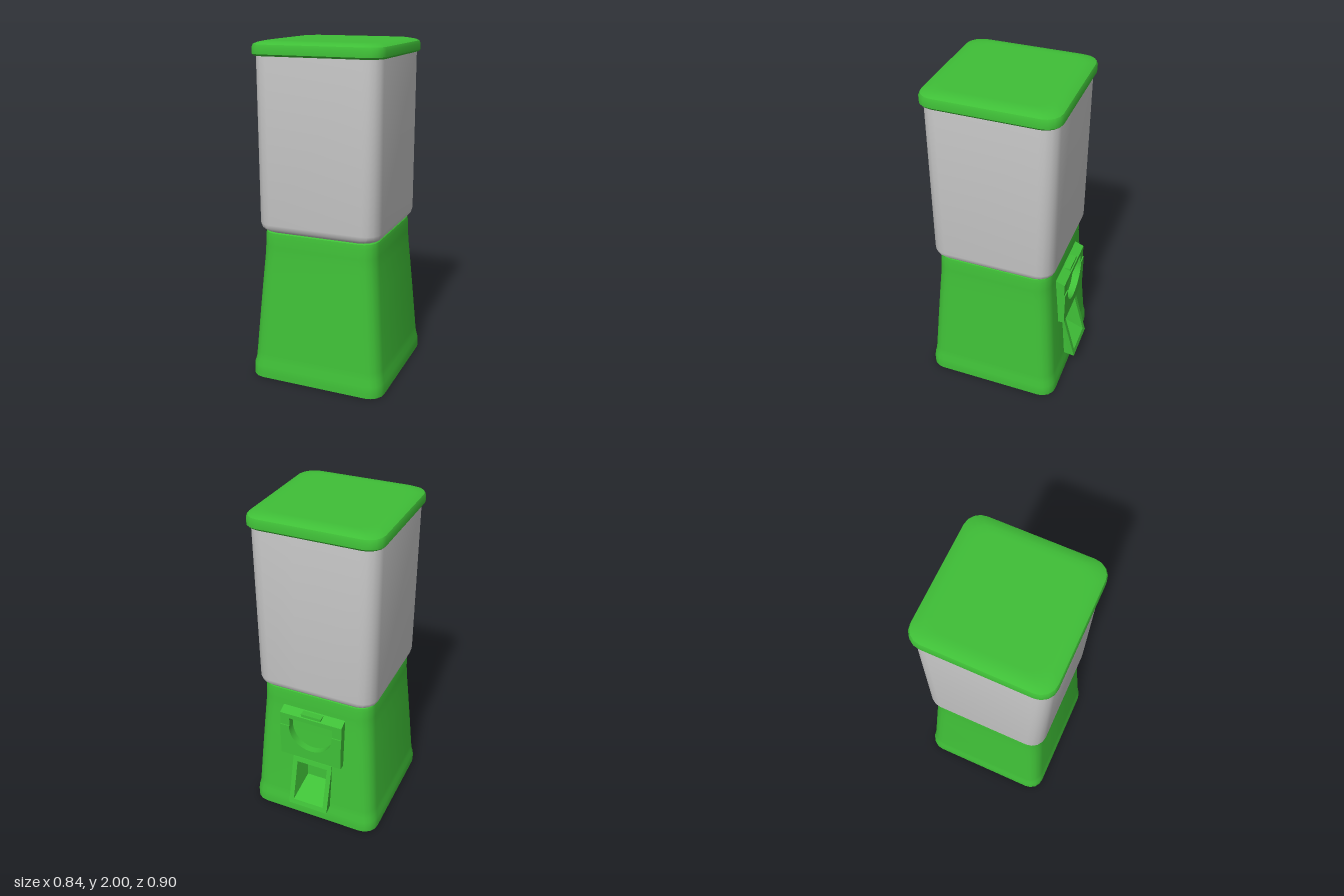
import * as THREE from 'three';
import { toCreasedNormals } from 'three/addons/utils/BufferGeometryUtils.js';

const green = new THREE.MeshStandardMaterial({ color: 0x3fbf37, side: THREE.DoubleSide });
const grey = new THREE.MeshStandardMaterial({ color: 0xcccccc, side: THREE.DoubleSide });
const CZ = 0.03; // centre of the cabinet in z
const SEG = 4;   // segments per rounded corner

// Skin a list of equal-length loops; skip(i, j) leaves a quad open
function loft(loops, { capStart = false, capEnd = false, skip = () => false, crease = 0.6 } = {}) {
  const n = loops[0].length, pos = loops.flat(2), idx = [];
  for (let i = 0; i < loops.length - 1; i++) {
    for (let j = 0; j < n; j++) {
      if (skip(i, j)) continue;
      const a = i * n + j, b = i * n + (j + 1) % n;
      idx.push(a, b, b + n, a, b + n, a + n);
    }
  }
  const last = (loops.length - 1) * n;
  for (let j = 1; j < n - 1; j++) {
    if (capStart) idx.push(0, j + 1, j);
    if (capEnd) idx.push(last, last + j, last + j + 1);
  }
  const g = new THREE.BufferGeometry();
  g.setAttribute('position', new THREE.Float32BufferAttribute(pos, 3));
  g.setIndex(idx);
  return toCreasedNormals(g, crease);
}

// Horizontal rounded square; two extra points on the back edge frame the chute hole
function section(h, y, r = 0.09) {
  const pts = [];
  for (let c = 0; c < 4; c++) {
    const mid = Math.PI / 4 + c * Math.PI / 2;
    const cx = Math.sign(Math.cos(mid)) * (h - r), cz = -Math.sign(Math.sin(mid)) * (h - r);
    for (let s = 0; s <= SEG; s++) {
      const t = (c + s / SEG) * Math.PI / 2;
      pts.push([cx + r * Math.cos(t), y, CZ + cz - r * Math.sin(t)]);
    }
    if (c === 0) pts.push([0.1, y, CZ - h], [-0.1, y, CZ - h]);
  }
  return pts;
}

// Rectangle loop on the back, with its own depth at the top and bottom
const rect = (w, y0, y1, z0, z1) => [[w, y1, z1], [w, y0, z0], [-w, y0, z0], [-w, y1, z1]];

// U-shaped outline, flat at the top and round at the bottom
function uPath(r, top, mid) {
  const p = new THREE.Path();
  p.moveTo(r, top);
  p.lineTo(-r, top);
  p.lineTo(-r, mid);
  p.absarc(0, mid, r, Math.PI, Math.PI * 2, false);
  p.lineTo(r, top);
  return p;
}

// Rectangular plate with a U-shaped opening
function plateGeometry(w, y0, y1, holeTop, depth) {
  const s = new THREE.Shape([[-w, y0], [w, y0], [w, y1], [-w, y1]].map(p => new THREE.Vector2(...p)));
  s.holes.push(uPath(0.14, holeTop, 0.68));
  return new THREE.ExtrudeGeometry(s, { depth, bevelEnabled: false, curveSegments: 20 });
}

export function createModel() {
  const model = new THREE.Group();
  const add = (name, geometry, material = green, parent = model) => {
    const m = new THREE.Mesh(geometry, material);
    m.name = name;
    parent.add(m);
    return m;
  };

  // Tapered base with skirt; the chute opening is left out of the back
  const base = [[0.42, 0], [0.42, 0.03], [0.417, 0.07], [0.409, 0.105], [0.405, 0.15], [0.385, 0.41],
    [0.368, 0.62], [0.357, 0.75], [0.353, 0.82], [0.352, 0.88], [0.348, 0.905], [0.338, 0.915]];
  add('base', loft(base.map(p => section(...p)), {
    capStart: true, capEnd: true, skip: (i, j) => i === 4 && j === SEG + 1,
  }));

  // Container
  const jar = [[0.34, 0.91], [0.355, 0.92], [0.367, 0.935], [0.373, 0.96], [0.373, 1.93]];
  add('container', loft(jar.map(p => section(...p)), { capStart: true, capEnd: true }), grey);

  // Lid with a rounded rim
  const lid = [[0.382, 1.92], [0.39, 1.93], [0.39, 1.965], [0.384, 1.982], [0.365, 1.992], [0.33, 2], [0.3, 2]];
  add('lid', loft(lid.map(p => section(...p)), { capStart: true, capEnd: true }));

  // Coin mechanism on the back, its top edge sloping to the cabinet
  const mechanism = new THREE.Group();
  mechanism.name = 'coinMechanism';
  model.add(mechanism);
  const plate = plateGeometry(0.2, 0.47, 0.8, 0.745, 0.062);
  const p = plate.attributes.position;
  for (let i = 0; i < p.count; i++) {
    if (p.getY(i) > 0.79 && p.getZ(i) < 0.01) p.setY(i, 0.775);
  }
  plate.computeVertexNormals();
  add('coinPlate', toCreasedNormals(plate, 0.5), green, mechanism).position.z = -0.379;

  // Raised lower trim around the round end of the opening
  const trim = new THREE.Shape();
  trim.moveTo(-0.2, 0.47);
  trim.lineTo(0.2, 0.47);
  trim.lineTo(0.2, 0.69);
  trim.lineTo(0.14, 0.69);
  trim.absarc(0, 0.68, 0.14, 0, Math.PI, true);
  trim.lineTo(-0.14, 0.69);
  trim.lineTo(-0.2, 0.69);
  const trimGeo = new THREE.ExtrudeGeometry(trim, { depth: 0.008, bevelEnabled: false, curveSegments: 20 });
  add('plateTrim', trimGeo, green, mechanism).position.z = -0.386;

  // Small tab above the opening
  add('coinTab', new THREE.BoxGeometry(0.13, 0.035, 0.04), green, mechanism).position.set(0, 0.778, -0.352);

  // Chute: outer hood, front rim and funnel going into the cabinet
  add('chute', loft([
    rect(0.12, 0.12, 0.44, -0.36, -0.33),
    rect(0.13, 0.12, 0.44, -0.447, -0.362),
    rect(0.1, 0.15, 0.41, -0.438, -0.369),
    rect(0.075, 0.24, 0.4, -0.28, -0.28),
  ], { capEnd: true, crease: 0.3 }));

  return model;
}
